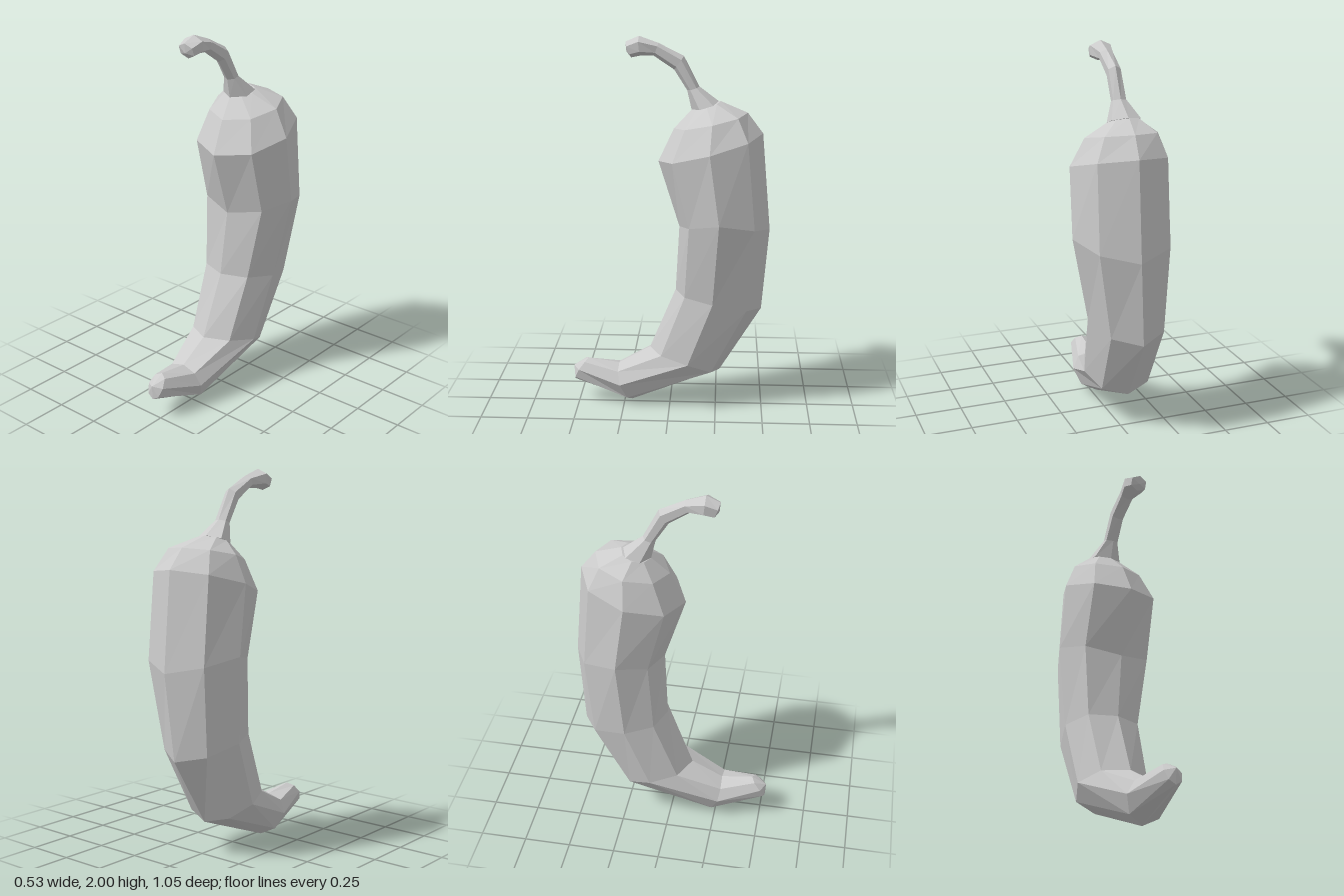
import * as THREE from 'three';

// Lofts faceted rings, listed from the bottom end to the top end.
// ring: front [z, y], back [z, y], side [z, y], half width, centre x
function loft(name, rings, sides, capStart, capEnd) {
  const loops = rings.map(([f, b, s, w, cx]) => {
    const loop = [];
    const cz = (f[0] + b[0]) / 2, cy = (f[1] + b[1]) / 2;
    for (let i = 0; i < sides; i++) {
      const a = (i / sides) * Math.PI * 2;
      const c = Math.cos(a), s2 = Math.sin(a) ** 2;
      loop.push(new THREE.Vector3(
        cx + w * Math.sin(a),
        cy + (f[1] - cy) * c + (s[1] - cy) * s2,
        cz + (f[0] - cz) * c + (s[0] - cz) * s2));
    }
    return loop;
  });
  const points = [];
  const first = loops[0], last = loops[loops.length - 1];
  const start = new THREE.Vector3(rings[0][4], capStart[1], capStart[0]);
  const end = new THREE.Vector3(rings[rings.length - 1][4], capEnd[1], capEnd[0]);
  for (let i = 0; i < sides; i++) {
    const j = (i + 1) % sides;
    for (let k = 0; k < loops.length - 1; k++) {
      const lo = loops[k], hi = loops[k + 1];
      points.push(lo[i], lo[j], hi[j], lo[i], hi[j], hi[i]);
    }
    points.push(start, first[j], first[i], end, last[i], last[j]);
  }
  const geometry = new THREE.BufferGeometry().setFromPoints(points);
  geometry.computeVertexNormals();
  const material = new THREE.MeshStandardMaterial({ color: 0xcccccc, flatShading: true });
  const mesh = new THREE.Mesh(geometry, material);
  mesh.name = name;
  return mesh;
}

export function createModel() {
  const group = new THREE.Group();
  group.name = 'chiliPepper';

  // Curved pod, from the upturned tip to the shoulders
  group.add(loft('pod', [
    [[0.45, 0.245], [0.525, 0.12], [0.50, 0.19], 0.05, -0.03],
    [[0.28, 0.22], [0.21, 0.005], [0.27, 0.13], 0.115, -0.03],
    [[0.11, 0.315], [-0.27, 0.19], [-0.10, 0.28], 0.185, -0.035],
    [[-0.03, 0.65], [-0.49, 0.55], [-0.23, 0.63], 0.205, -0.03],
    [[-0.05, 1.01], [-0.525, 1.0], [-0.26, 1.08], 0.265, 0],
    [[0.06, 1.36], [-0.48, 1.51], [-0.21, 1.44], 0.26, 0],
    [[-0.02, 1.53], [-0.40, 1.615], [-0.22, 1.58], 0.195, -0.01],
    [[-0.11, 1.625], [-0.26, 1.67], [-0.19, 1.645], 0.085, -0.035],
  ], 8, [0.53, 0.2], [-0.18, 1.65]));

  // Hooked stem with a flared base and a knob at its end
  group.add(loft('stem', [
    [[-0.11, 1.625], [-0.25, 1.67], [-0.19, 1.645], 0.09, -0.035],
    [[-0.087, 1.725], [-0.15, 1.745], [-0.12, 1.735], 0.04, -0.033],
    [[-0.02, 1.83], [-0.07, 1.90], [-0.045, 1.865], 0.038, -0.035],
    [[0.085, 1.90], [0.06, 1.965], [0.07, 1.935], 0.04, -0.037],
    [[0.15, 1.90], [0.16, 2.0], [0.16, 1.95], 0.065, -0.04],
    [[0.20, 1.89], [0.23, 1.97], [0.215, 1.93], 0.05, -0.04],
  ], 6, [-0.18, 1.64], [0.225, 1.92]));

  return group;
}
